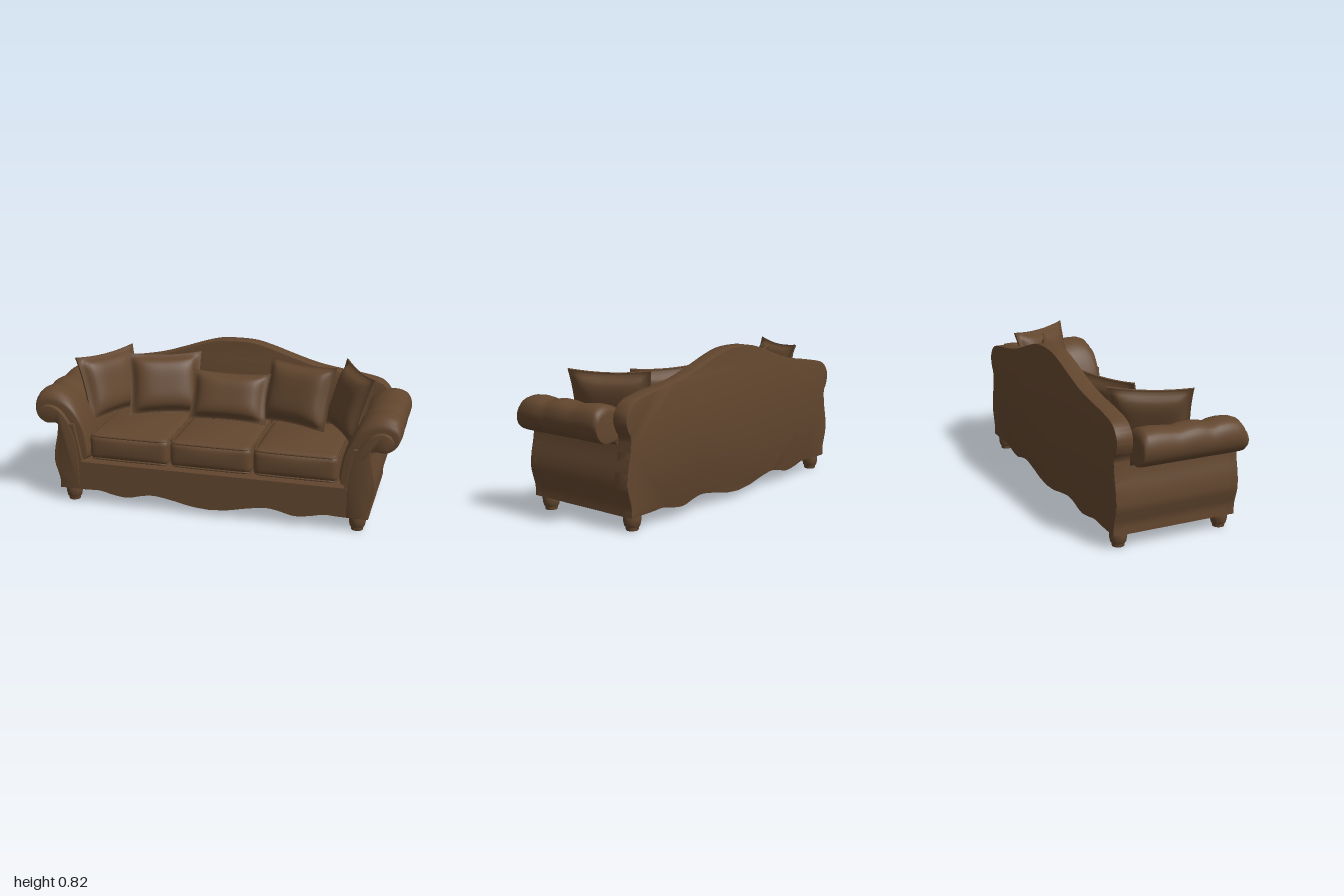
import * as THREE from 'three';
import { mergeVertices, toCreasedNormals } from 'three/addons/utils/BufferGeometryUtils.js';

const leather = new THREE.MeshStandardMaterial({ color: 0x62462e, side: THREE.DoubleSide });
leather.name = 'brown leather';

const v2 = (p) => new THREE.Vector2(p[0], p[1]);
const smooth = (pts, n) => new THREE.SplineCurve(pts.map(v2)).getPoints(n);

function add(parent, name, geometry, x = 0, y = 0, z = 0) {
  const mesh = new THREE.Mesh(geometry, leather);
  mesh.name = name;
  mesh.position.set(x, y, z);
  parent.add(mesh);
  return mesh;
}

// Closed shape from a half outline that runs from the centre line round to the centre line
function mirrored(half) {
  const other = half.slice().reverse().map((p) => new THREE.Vector2(-p.x, p.y));
  return new THREE.Shape(half.concat(other.slice(1, -1)));
}

function slab(shape, z0, z1, bevel = 0) {
  const g = new THREE.ExtrudeGeometry(shape, {
    depth: z1 - z0 - 2 * bevel, bevelEnabled: bevel > 0, bevelSize: bevel,
    bevelThickness: bevel, bevelOffset: -bevel, bevelSegments: 2,
  });
  g.translate(0, 0, z0 + bevel);
  return toCreasedNormals(g, 0.6);
}

// Rounded block with swollen faces
function softBox(w, h, d, r, crown) {
  let g = new THREE.BoxGeometry(w, h, d, 30, 14, 30);
  const pos = g.attributes.position, p = new THREE.Vector3(), q = new THREE.Vector3();
  const lim = new THREE.Vector3(w / 2 - r, h / 2 - r, d / 2 - r), neg = lim.clone().negate();
  for (let i = 0; i < pos.count; i++) {
    p.fromBufferAttribute(pos, i);
    const a = 1 - (2 * p.x / w) ** 2, b = 1 - (2 * p.y / h) ** 2, c = 1 - (2 * p.z / d) ** 2;
    q.copy(p).clamp(neg, lim);
    const s = Math.sign(p.y), t = Math.sign(p.z);
    p.sub(q).setLength(r).add(q);
    p.y += s * crown * a * c;
    p.z += t * crown * 0.6 * a * b;
    pos.setXYZ(i, p.x, p.y, p.z);
  }
  g.deleteAttribute('uv');
  g.deleteAttribute('normal');
  g = mergeVertices(g);
  g.computeVertexNormals();
  return g;
}

// Piping that follows a rounded rectangle
function piping(w, d, r) {
  const pts = [];
  for (let k = 0; k < 4; k++) {
    const sx = k === 0 || k === 3 ? 1 : -1, sz = k < 2 ? 1 : -1;
    for (let j = 0; j <= 4; j++) {
      const a = (k + j / 4) * Math.PI / 2;
      pts.push(new THREE.Vector3(sx * (w / 2 - r) + r * Math.cos(a), 0, sz * (d / 2 - r) + r * Math.sin(a)));
    }
  }
  return new THREE.TubeGeometry(new THREE.CatmullRomCurve3(pts, true, 'centripetal'), 80, 0.006, 6, true);
}

// Throw pillow: plump centre, flat sewn border, pointed corners
function pillowGeometry(w, h, t) {
  const g = new THREE.BoxGeometry(2, 2, 2, 28, 28, 1), pos = g.attributes.position;
  for (let i = 0; i < pos.count; i++) {
    const u = pos.getX(i), v = pos.getY(i), s = Math.sign(pos.getZ(i));
    const a = Math.max(0, 1 - (u / 0.88) ** 4), b = Math.max(0, 1 - (v / 0.88) ** 4);
    pos.setXYZ(i, u * w / 2 * (1 - 0.07 * (1 - v * v)), v * h / 2 * (1 - 0.09 * (1 - u * u)),
      s * (0.005 + t * Math.sqrt(a * b)));
  }
  g.computeVertexNormals();
  return g;
}

// Upholstered rolled arm, swelling and pinching along its length
function armGeometry(side) {
  const section = [[.69, .25], [.8, .25], [.835, .4], [.87, .445], [.93, .441], [.98, .48], [.997, .54],
    [.975, .6], [.92, .624], [.85, .612], [.78, .56], [.72, .45], [.692, .35]];
  const curve = new THREE.CatmullRomCurve3(section.map((p) => new THREE.Vector3(p[0], p[1], 0)), true);
  const ring = curve.getPoints(52).slice(0, 52), n = 52;
  const swell = [[.31, .68], [.303, .8], [.285, .91], [.25, .98], [.2, 1], [.16, .975], [.13, .92], [.09, .97],
    [.05, 1], [0, .985], [-.05, .93], [-.1, .97], [-.17, 1.01], [-.22, 1], [-.242, .92], [-.25, .78]];
  const verts = [], index = [];
  const tri = (a, b, c) => (side > 0 ? index.push(a, b, c) : index.push(a, c, b));
  for (const [z, s] of swell) {
    for (const p of ring) {
      const y = p.y > .44 ? .44 + (p.y - .44) * s : p.y;
      verts.push(side * (.85 + (p.x - .85) * (1 - (1 - s) * .35)), y, z);
    }
  }
  for (let i = 0; i < swell.length - 1; i++) {
    for (let j = 0; j < n; j++) {
      const a = i * n + j, b = i * n + (j + 1) % n;
      tri(a, a + n, b);
      tri(b, a + n, b + n);
    }
  }
  const last = (swell.length - 1) * n, c = verts.length / 3;
  verts.push(side * .82, .46, .31, side * .82, .46, -.25);
  for (let j = 0; j < n; j++) {
    const k = (j + 1) % n;
    tri(c, j, k);
    tri(c + 1, last + k, last + j);
  }
  const g = new THREE.BufferGeometry();
  g.setAttribute('position', new THREE.Float32BufferAttribute(verts, 3));
  g.setIndex(index);
  g.computeVertexNormals();
  return g;
}

export function createModel() {
  const sofa = new THREE.Group();
  sofa.name = 'sofa';

  // Scalloped lower edge and bowed sides, shared by the frame and the back
  const scallop = smooth([[0, .036], [.1, .045], [.2, .066], [.3, .082], [.37, .076], [.46, .055],
    [.54, .063], [.62, .08], [.7, .078], [.85, .077]], 50);
  const flank = [[.85, .077], [.85, .13], [.864, .18], [.876, .23], [.872, .3], [.855, .38], [.846, .45]];
  const outer = scallop.concat(smooth(flank, 24).slice(1));

  // Frame with the seat deck between the side walls
  add(sofa, 'frame', slab(mirrored(outer.concat([[.76, .45], [.72, .24], [0, .24]].map(v2))), -.333, .333));

  // Camel back
  const crest = smooth([[.85, .475], [.868, .505], [.88, .55], [.868, .595], [.82, .64], [.72, .665], [.58, .685],
    [.45, .71], [.32, .75], [.2, .79], [.1, .815], [0, .82]], 60);
  add(sofa, 'back', slab(mirrored(outer.concat(crest)), -.336, -.25, .004));

  // Front rail moulding
  add(sofa, 'frontRail', new THREE.BoxGeometry(1.47, .075, .008), 0, .2025, .333);

  // Arms with scrolled front panels
  const scroll = smooth([[.846, .45], [.87, .462], [.905, .45], [.945, .468], [.957, .505], [.935, .538],
    [.89, .546], [.835, .52], [.785, .45], [.755, .36], [.738, .24]], 50);
  for (const side of [1, -1]) {
    const name = side > 0 ? 'left' : 'right';
    add(sofa, name + 'Arm', armGeometry(side));
    const outline = smooth(flank, 24).concat(scroll.slice(1), [v2([.735, .077])]);
    add(sofa, name + 'ArmPanel',
      slab(new THREE.Shape(outline.map((p) => new THREE.Vector2(side * p.x, p.y))), .29, .337, .005));
  }

  // Seat cushions with piping
  for (const x of [-.457, 0, .457]) {
    const cushion = new THREE.Group();
    cushion.name = 'seatCushion';
    cushion.position.set(x, .322, .05);
    add(cushion, 'cushion', softBox(.452, .15, .52, .035, .024));
    for (const y of [-.064, .064]) add(cushion, 'piping', piping(.44, .51, .04), 0, y, 0);
    sofa.add(cushion);
  }

  // Throw pillows: one in the middle and two pairs fanned to the sides
  const pillow = (name, w, h, t, at, yaw, tilt) => {
    const mesh = add(sofa, name, pillowGeometry(w, h, t), ...at);
    mesh.rotation.set(tilt, yaw, 0, 'YXZ');
  };
  pillow('middlePillow', .45, .285, .055, [0, .54, -.095], 0, -.42);
  for (const s of [1, -1]) {
    pillow('innerPillow', .42, .36, .06, [s * .38, .578, -.12], -s * .35, -.35);
    pillow('cornerPillow', .42, .37, .055, [s * .68, .58, -.06], -s * 1.08, -.3);
  }

  // Turned bun feet
  const foot = new THREE.LatheGeometry([[0, 0], [.031, 0], [.034, .018], [.039, .022], [.044, .045], [.045, .062],
    [.042, .085], [0, .085]].map(v2), 24);
  const feet = toCreasedNormals(foot, .7);
  for (const x of [-.79, .79]) for (const z of [-.283, .283]) add(sofa, 'foot', feet, x, 0, z);

  return sofa;
}
